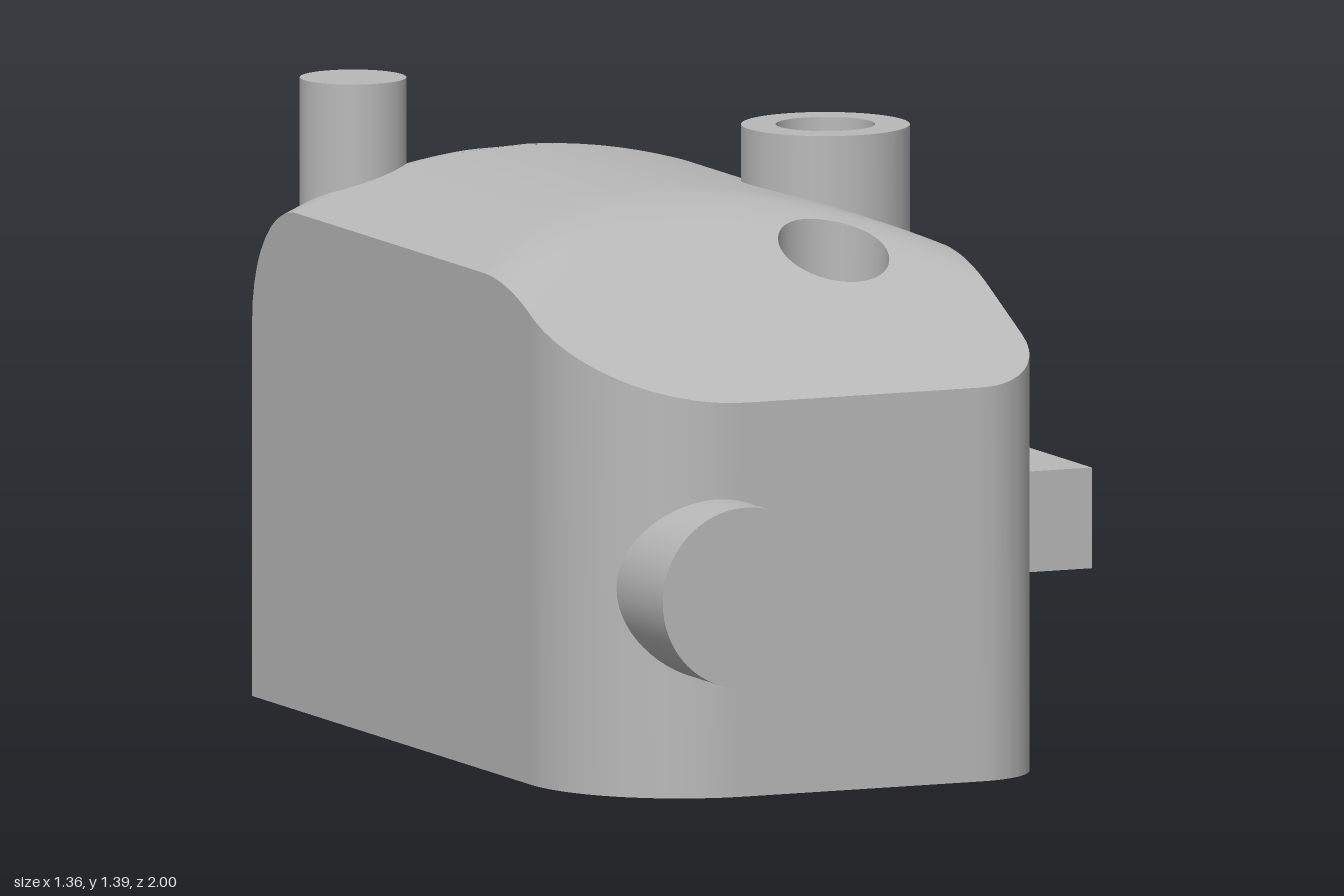
import * as THREE from 'three';
import { toCreasedNormals } from 'three/addons/utils/BufferGeometryUtils.js';

// Body limits, crowned top (arc about X0, CY) and rear fillet
const L = -0.68, R = 0.43, BACK = -1, FRONT = 0.865;
const X0 = -0.125, CY = -0.113, CROWN = 1.343;
const FIL = 0.24, FX = R - FIL, FZ = BACK + FIL;
const TUBE = { x: 0.357, z: -0.215, r: 0.187, bore: 0.11, half: 0.12 };
const SOCKETS = [
  { x: 0.13, z: 0.335, r: 0.123, half: 0.15, floor: 0.8 },
  { x: -0.172, z: -0.88, r: 0.113, half: 0.118, floor: 1.15 },
];
// Notch under the right wall: [z, y]
const NOTCH_X = 0.13;
const NOTCH = [[0.2, 0], [0.225, 0.007], [0.243, 0.022], [0.25, 0.045], [0.251, 0.185], [0.262, 0.213], [0.29, 0.225],
  [0.48, 0.225], [0.508, 0.213], [0.519, 0.185], [0.52, 0.045], [0.527, 0.022], [0.545, 0.007], [0.57, 0]];

const root = (v) => Math.sqrt(Math.max(0, v));
const clamp = THREE.MathUtils.clamp;

// Plan outline
function leftX(z) {
  return z > 0.505 ? -0.32 - root(0.36 ** 2 - (z - 0.505) ** 2) : L;
}
function rightX(z) {
  if (z > 0.685) return 0.25 + root(0.18 ** 2 - (z - 0.685) ** 2);
  if (z < FZ) return FX + root(FIL ** 2 - (z - FZ) ** 2);
  return R;
}

// Height of the top: crown, rolled rear and right edges, sloped nose
function height(x, z) {
  const dz = Math.max(0, FZ - z);
  const rho = CROWN - FIL + root(FIL ** 2 - dz ** 2);
  let y = CY + root(rho ** 2 - (x - X0) ** 2);
  if (z <= TUBE.z && X0 + (x - X0) * (CROWN - FIL) / rho > FX) {
    const cy = CY + root((CROWN - FIL) ** 2 - (FX - X0) ** 2);
    y = cy + root(FIL ** 2 - (x - FX) ** 2 - dz ** 2);
  }
  const slope = 0.88 + (FRONT - z) * 0.466;
  const k = 0.06, t = Math.max(k - Math.abs(y - slope), 0) / k;
  return Math.min(y, slope) - t * t * k / 4;
}

// Height of the underside along the right wall
function notchY(z) {
  for (let i = 1; i < NOTCH.length; i++) {
    const [z0, y0] = NOTCH[i - 1], [z1, y1] = NOTCH[i];
    if (z >= z0 && z <= z1) return y0 + (y1 - y0) * (z - z0) / (z1 - z0);
  }
  return 0;
}

// Sorted grid lines: even spacing plus extra breakpoints
function gridLines(from, to, count, extra) {
  const list = [...extra];
  for (let i = 0; i <= count; i++) list.push(from + (to - from) * i / count);
  return list.filter((v) => v >= from - 1e-6 && v <= to + 1e-6).sort((a, b) => a - b)
    .filter((v, i, a) => i === 0 || v - a[i - 1] > 1e-4);
}
function roundLines(centre, radius) {
  return Array.from({ length: 11 }, (_, i) => centre + radius * Math.sin(i * Math.PI / 20));
}

function bodyGeometry() {
  const pos = [];
  const tri = (a, b, c) => pos.push(...a, ...b, ...c);
  const quad = (a, b, c, d) => { tri(a, b, c); tri(a, c, d); };
  const boxes = [...SOCKETS, TUBE];
  const edges = (k) => boxes.flatMap((b) => [b[k] - b.half, b[k] + b.half]);
  const xs = gridLines(L, R, 24, [...edges('x'), ...roundLines(FX, FIL), ...roundLines(0.25, 0.18), ...roundLines(-0.32, -0.36)]);
  const zs = gridLines(BACK, FRONT, 50, [...edges('z'), ...roundLines(FZ, -FIL), ...roundLines(0.685, 0.18),
    ...roundLines(0.505, 0.36), ...NOTCH.map((p) => p[0]), TUBE.z, TUBE.z + 0.01]);
  const inBox = (x, z) => boxes.some((b) => Math.abs(x - b.x) < b.half && Math.abs(z - b.z) < b.half);
  const top = (x, z) => [x, height(x, z), z];
  const at = (x, z) => clamp(x, leftX(z), rightX(z));
  const wall = (x0, z0, x1, z1, low0 = 0, low1 = 0) =>
    quad([x0, low0, z0], top(x0, z0), top(x1, z1), [x1, low1, z1]);

  for (let j = 1; j < zs.length; j++) {
    const a = zs[j - 1], b = zs[j], na = notchY(a), nb = notchY(b);
    // Top cells
    for (let i = 1; i < xs.length; i++) {
      const p = xs[i - 1], q = xs[i];
      if (inBox((p + q) / 2, (a + b) / 2)) continue;
      if (at(q, a) - at(p, a) + at(q, b) - at(p, b) < 1e-5) continue;
      quad(top(at(p, a), a), top(at(p, b), b), top(at(q, b), b), top(at(q, a), a));
    }
    // Side walls
    if (!inBox(R, (a + b) / 2)) wall(rightX(a), a, rightX(b), b, na, nb);
    wall(leftX(b), b, leftX(a), a);
    // Underside, notch roof and notch end
    quad([leftX(a), 0, a], [NOTCH_X, 0, a], [NOTCH_X, 0, b], [leftX(b), 0, b]);
    quad([NOTCH_X, na, a], [rightX(a), na, a], [rightX(b), nb, b], [NOTCH_X, nb, b]);
    if (na + nb > 0) quad([NOTCH_X, 0, a], [NOTCH_X, na, a], [NOTCH_X, nb, b], [NOTCH_X, 0, b]);
  }
  // Front and back walls
  for (let i = 1; i < xs.length; i++) {
    const p = xs[i - 1], q = xs[i];
    if (at(q, FRONT) - at(p, FRONT) > 1e-5) wall(at(q, FRONT), FRONT, at(p, FRONT), FRONT);
    if (at(q, BACK) - at(p, BACK) > 1e-5) wall(at(p, BACK), BACK, at(q, BACK), BACK);
  }
  // Round sockets: surrounding surface, wall and floor
  const N = 64;
  for (const s of SOCKETS) {
    const ring = (i, t) => {
      const c = Math.cos(i * 2 * Math.PI / N), d = Math.sin(i * 2 * Math.PI / N);
      const r = s.r + (s.half / Math.max(Math.abs(c), Math.abs(d)) - s.r) * t;
      return [s.x + c * r, s.z + d * r];
    };
    for (let i = 0; i < N; i++) {
      for (let t = 0; t < 1; t += 0.5) {
        quad(top(...ring(i, t)), top(...ring(i + 1, t)), top(...ring(i + 1, t + 0.5)), top(...ring(i, t + 0.5)));
      }
      const p = ring(i, 0), q = ring(i + 1, 0);
      const pf = [p[0], s.floor, p[1]], qf = [q[0], s.floor, q[1]];
      quad(pf, qf, top(...q), top(...p));
      tri([s.x, s.floor, s.z], qf, pf);
    }
  }
  const g = new THREE.BufferGeometry();
  g.setAttribute('position', new THREE.Float32BufferAttribute(pos, 3));
  return toCreasedNormals(g, 0.6);
}

export function createModel() {
  const group = new THREE.Group();
  const grey = new THREE.MeshStandardMaterial({ color: 0xb8b8b8 });
  grey.name = 'plain grey';
  const add = (name, geometry, x = 0, y = 0, z = 0) => {
    const mesh = new THREE.Mesh(geometry, grey);
    mesh.name = name;
    mesh.position.set(x, y, z);
    group.add(mesh);
    return mesh;
  };

  add('housing', bodyGeometry());

  // Hollow side tube with a blind bore
  const profile = [[0, 0], [TUBE.r, 0], [TUBE.r, 1.32], [TUBE.bore, 1.32], [TUBE.bore, 0.95], [0, 0.95]]
    .map(([x, y]) => new THREE.Vector2(x, y));
  add('sideTube', toCreasedNormals(new THREE.LatheGeometry(profile, 64), 0.6), TUBE.x, 0, TUBE.z);

  // Rear post and front plug
  add('rearPost', new THREE.CylinderGeometry(0.118, 0.118, 0.49, 48), -0.497, 1.145, -0.863);
  add('frontPlug', new THREE.CylinderGeometry(0.202, 0.202, 0.4, 64), -0.381, 0.465, 0.8).rotation.x = Math.PI / 2;

  // Side lug with a filleted front root, drawn as (x, -z) and extruded upward
  const lug = new THREE.Shape();
  lug.moveTo(0.41, -0.09);
  lug.lineTo(0.41, -0.57);
  lug.lineTo(0.43, -0.57);
  lug.absarc(0.485, -0.57, 0.055, Math.PI, Math.PI / 2, true);
  lug.lineTo(0.675, -0.515);
  lug.lineTo(0.675, -0.09);
  const lugGeometry = new THREE.ExtrudeGeometry(lug, { depth: 0.225, bevelEnabled: false, curveSegments: 10 });
  lugGeometry.rotateX(-Math.PI / 2);
  add('sideLug', toCreasedNormals(lugGeometry, 0.6), 0, 0.405, 0);

  return group;
}
